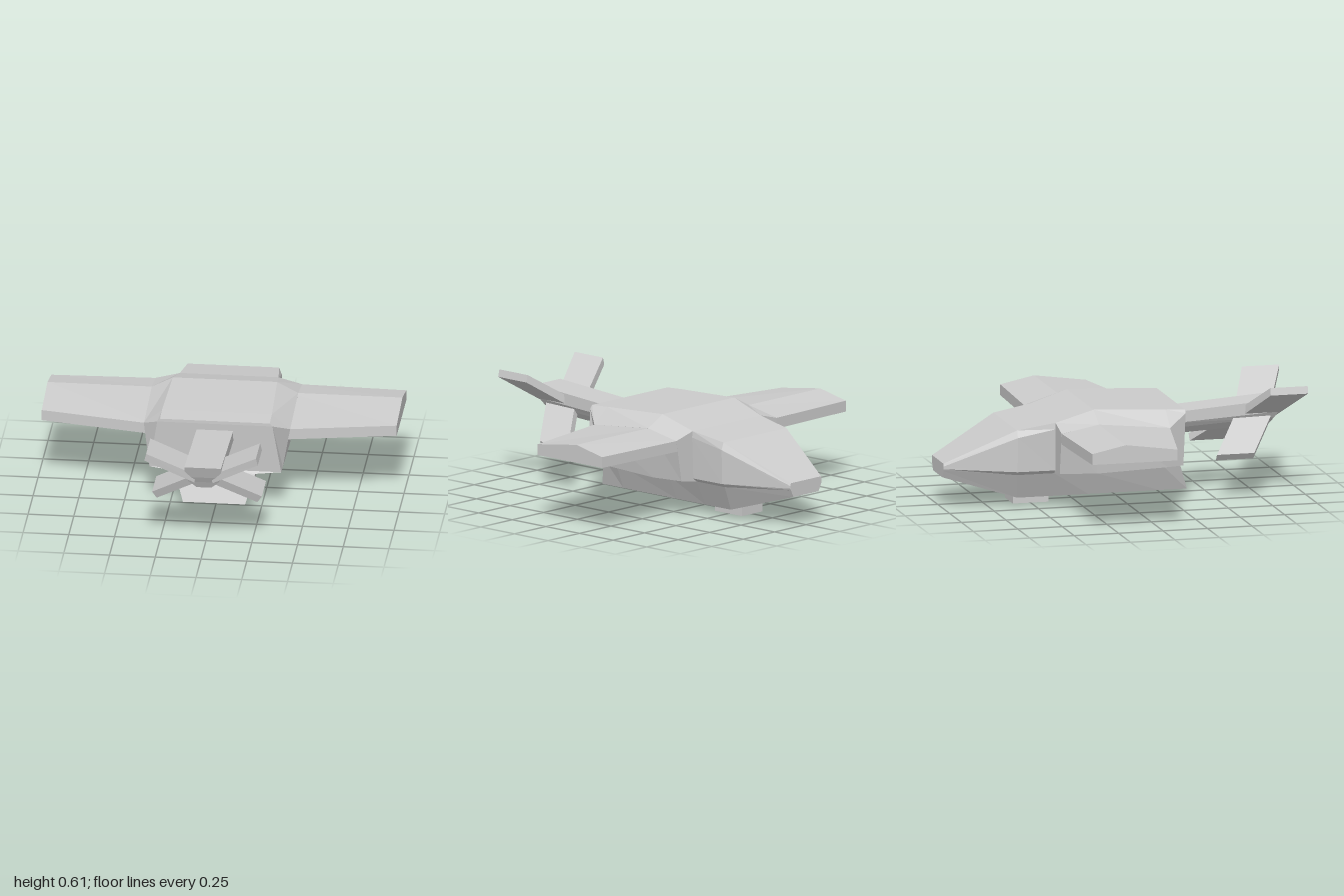
import * as THREE from 'three';

const material = new THREE.MeshStandardMaterial({ color: 0xcccccc, flatShading: true });

// Skin a row of rings (counter-clockwise seen from the end) and close both ends
function loft(name, rings) {
  const pos = [];
  const quad = (a, b, c, d) => pos.push(...a, ...b, ...c, ...a, ...c, ...d);
  const n = rings[0].length;
  for (let s = 0; s < rings.length - 1; s++) {
    const a = rings[s], b = rings[s + 1];
    for (let i = 0; i < n; i++) {
      const j = (i + 1) % n;
      quad(a[i], a[j], b[j], b[i]);
    }
  }
  const first = rings[0], last = rings[rings.length - 1];
  for (let i = 0; i < Math.floor((n - 1) / 2); i++) {
    const k = n - 1 - i;
    quad(last[i], last[i + 1], last[k - 1], last[k]);
    quad(first[k], first[k - 1], first[i + 1], first[i]);
  }
  const geometry = new THREE.BufferGeometry();
  geometry.setAttribute('position', new THREE.Float32BufferAttribute(pos, 3));
  geometry.computeVertexNormals();
  const mesh = new THREE.Mesh(geometry, material);
  mesh.name = name;
  return mesh;
}

// Full ring from the +x half, listed bottom to top
const symmetric = (half) => [...half, ...half.map(([x, y, z]) => [-x, y, z]).reverse()];
// Same rings on the other side, with order kept outward-facing
const mirrored = (rings) => rings.map((r) => r.map(([x, y, z]) => [-x, y, z])).reverse();

export function createModel() {
  const group = new THREE.Group();
  const addPair = (name, rings) => {
    group.add(loft('left' + name, rings), loft('right' + name, mirrored(rings)));
  };

  // Fuselage: keel, chine inner, chine outer, shoulder, roof edge
  const at = (z, ...pts) => symmetric(pts.map(([x, y, own]) => [x, y, own ?? z]));
  group.add(loft('fuselage', [
    at(-1, [0.10, 0.17], [0.12, 0.21], [0.125, 0.22], [0.125, 0.235], [0.12, 0.25]),
    at(-0.62, [0.17, 0.05, -0.6], [0.24, 0.19], [0.26, 0.21], [0.265, 0.4], [0.25, 0.44]),
    at(-0.41, [0.17, 0.05], [0.24, 0.19], [0.265, 0.21], [0.275, 0.44], [0.27, 0.475]),
    // step out to the wide centre section
    at(-0.41, [0.17, 0.05], [0.24, 0.19], [0.36, 0.21], [0.4, 0.44], [0.27, 0.475]),
    at(-0.2, [0.17, 0.05], [0.23, 0.185], [0.36, 0.2], [0.4, 0.48], [0.285, 0.54]),
    at(0.2, [0.17, 0.05], [0.23, 0.2], [0.36, 0.215], [0.4, 0.44], [0.3, 0.523]),
    at(0.31, [0.17, 0.05, 0.355], [0.22, 0.21, 0.3], [0.36, 0.22, 0.285], [0.315, 0.5], [0.3, 0.517]),
  ]));

  // Wings: flat underside with a ridge along the top
  const wingRing = (x, lead, trail) => [
    [x, 0.38, trail], [x, 0.38, lead], [x, 0.44, lead], [x, 0.48, -0.2], [x, 0.44, trail],
  ];
  addPair('Wing', [wingRing(0.36, -0.41, 0.207), wingRing(0.97, -0.39, 0.09)]);

  // Tail boom, with a slanted end
  group.add(loft('tailBoom', [
    at(0.28, [0.04, 0.33], [0.08, 0.37], [0.1, 0.4], [0.1, 0.46]),
    at(0.92, [0.04, 0.36, 0.85], [0.08, 0.4, 0.87], [0.1, 0.435, 0.89], [0.1, 0.505]),
  ]));

  // Tail fins in an X: [top x, top y, bottom x, bottom y, lead z, trail z]
  const finRing = ([tx, ty, bx, by, lead, trail]) => [
    [bx, by, trail], [bx, by, lead], [tx, ty, lead], [tx, ty, trail],
  ];
  addPair('UpperFin', [
    finRing([0.04, 0.445, 0.05, 0.4, 0.68, 0.88]),
    finRing([0.3, 0.61, 0.31, 0.57, 0.79, 1]),
  ]);
  addPair('LowerFin', [
    finRing([0.06, 0.435, 0.035, 0.4, 0.66, 0.87]),
    finRing([0.3, 0.255, 0.275, 0.22, 0.49, 0.7]),
  ]);

  // Sensor box under the nose
  const pod = new THREE.Mesh(new THREE.BoxGeometry(0.165, 0.07, 0.2), material);
  pod.name = 'bellyBox';
  pod.position.set(0, 0.035, -0.5);
  group.add(pod);

  return group;
}
